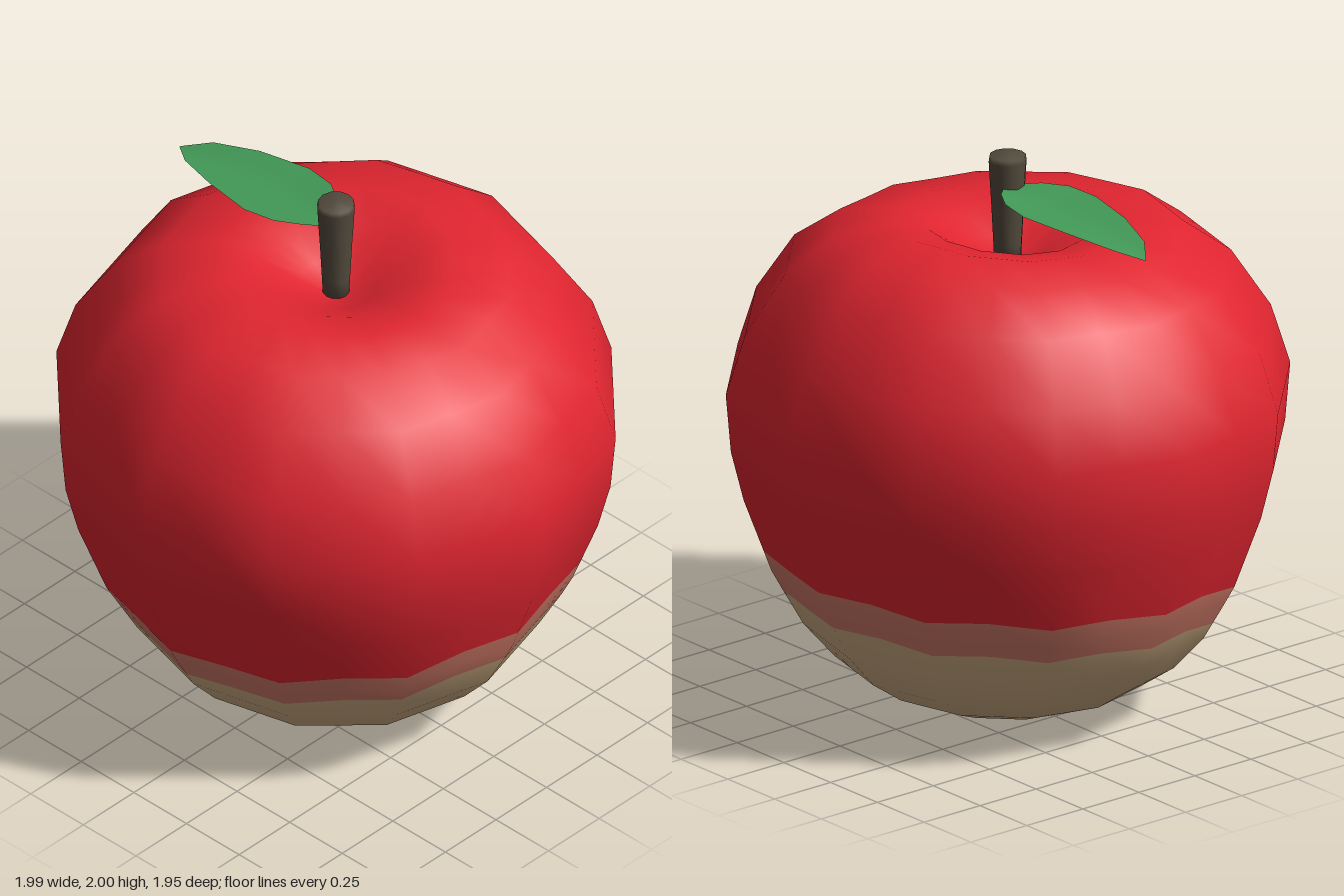
import * as THREE from 'three';

const mat = (name, color, side = THREE.FrontSide) => {
  const m = new THREE.MeshStandardMaterial({ color, side });
  m.name = name;
  return m;
};

// Builds a smooth surface from rows of points; wrap closes each row into a ring.
function loft(rows, wrap) {
  const n = rows[0].length;
  const index = [];
  for (let r = 0; r < rows.length - 1; r++) {
    for (let i = 0; i < (wrap ? n : n - 1); i++) {
      const a = r * n + i, b = r * n + (i + 1) % n;
      index.push(a, b, a + n, b, b + n, a + n);
    }
  }
  const g = new THREE.BufferGeometry();
  g.setAttribute('position', new THREE.Float32BufferAttribute(rows.flat(2), 3));
  g.setIndex(index);
  g.computeVertexNormals();
  return g;
}

// Body profile as [radius, height], bottom pole to the pit under the stem
const PROFILE = [
  [0, 0.005], [0.17, 0.01], [0.33, 0.042], [0.485, 0.105], [0.61, 0.19], [0.72, 0.315],
  [0.83, 0.51], [0.93, 0.78], [0.975, 0.96], [0.993, 1.17], [0.925, 1.385], [0.785, 1.595],
  [0.615, 1.715], [0.42, 1.75], [0.28, 1.725], [0.14, 1.65], [0.05, 1.615], [0, 1.61],
];
// Wavy upper edge of the blush band, every 15 degrees from the front towards +x
const EDGE = [
  0.52, 0.54, 0.55, 0.575, 0.575, 0.61, 0.605, 0.625, 0.61, 0.585, 0.59, 0.585,
  0.59, 0.595, 0.575, 0.58, 0.56, 0.565, 0.55, 0.55, 0.517, 0.53, 0.506, 0.522,
];
const BAND = 0.145;
const SEG = EDGE.length;

function radiusAt(y) {
  const k = PROFILE.findIndex((p) => p[1] > y);
  const [r0, y0] = PROFILE[k - 1], [r1, y1] = PROFILE[k];
  return r0 + (r1 - r0) * (y - y0) / (y1 - y0);
}

// One point on the twelve-sided ring; odd steps lie midway along a flat side
function ringPoint(r, y, i) {
  const a = i / SEG * Math.PI * 2;
  const rr = i % 2 ? r * Math.cos(Math.PI / 12) : r;
  const top = THREE.MathUtils.smoothstep(y, 1.5, 1.75) * Math.min(1, r / 0.4);
  const lift = top * (0.011 * Math.cos(2 * a) - 0.011 * Math.cos(a) - 0.004 * Math.sin(a));
  return [rr * Math.sin(a), y + lift, rr * Math.cos(a) * 0.983];
}

function makeBody(materials) {
  const ring = (f) => EDGE.map((e, i) => ringPoint(...f(e), i));
  const fixed = ([r, y]) => ring(() => [r, y]);
  const wavy = (drop) => ring((e) => [radiusAt(e - drop), e - drop]);
  const rows = [
    ...PROFILE.slice(0, 6).map(fixed),
    wavy(BAND), wavy(BAND / 2), wavy(0),
    ...PROFILE.slice(7).map(fixed),
  ];
  const g = loft(rows, true);
  const perRow = SEG * 6;
  g.addGroup(0, 6 * perRow, 0);
  g.addGroup(6 * perRow, 2 * perRow, 1);
  g.addGroup(8 * perRow, (rows.length - 9) * perRow, 2);
  const body = new THREE.Mesh(g, materials);
  body.name = 'appleBody';
  return body;
}

// Leaf stations as [x, midrib height, half width], stem to tip
const LEAF = [
  [-0.035, 1.885, 0.03], [-0.095, 1.885, 0.09], [-0.18, 1.878, 0.142], [-0.3, 1.868, 0.16],
  [-0.5, 1.86, 0.125], [-0.67, 1.845, 0.07], [-0.76, 1.828, 0.003],
];

function makeLeaf(material) {
  // Folded along the midrib so both edges turn up
  const rows = LEAF.map(([x, y, w]) =>
    [-1, -0.5, 0, 0.5, 1].map((t) => [x, y + 0.15 * w * Math.abs(t), -0.02 - t * w]));
  const leaf = new THREE.Mesh(loft(rows, false), material);
  // Rows run towards -x and across towards -z, so the upper side is the front
  leaf.name = 'leaf';
  return leaf;
}

function makeStem(material) {
  const pts = [[0, 1.59], [0.046, 1.595], [0.05, 1.68], [0.057, 1.82], [0.066, 1.975], [0.063, 1.995], [0, 2]]
    .map(([r, y]) => new THREE.Vector2(r, y));
  const stem = new THREE.Mesh(new THREE.LatheGeometry(pts, 12), material);
  stem.position.set(-0.01, 0, -0.01);
  stem.name = 'stem';
  return stem;
}

export function createModel() {
  const tan = mat('tanBase', 0xcfae84);
  const blush = mat('blushBand', 0xd07a68);
  const red = mat('redSkin', 0xe02530);
  const green = mat('leafGreen', 0x439a58, THREE.DoubleSide);
  const brown = mat('stemBrown', 0x524a3c);

  const apple = new THREE.Group();
  apple.name = 'apple';
  apple.add(makeBody([tan, blush, red]), makeLeaf(green), makeStem(brown));
  return apple;
}
